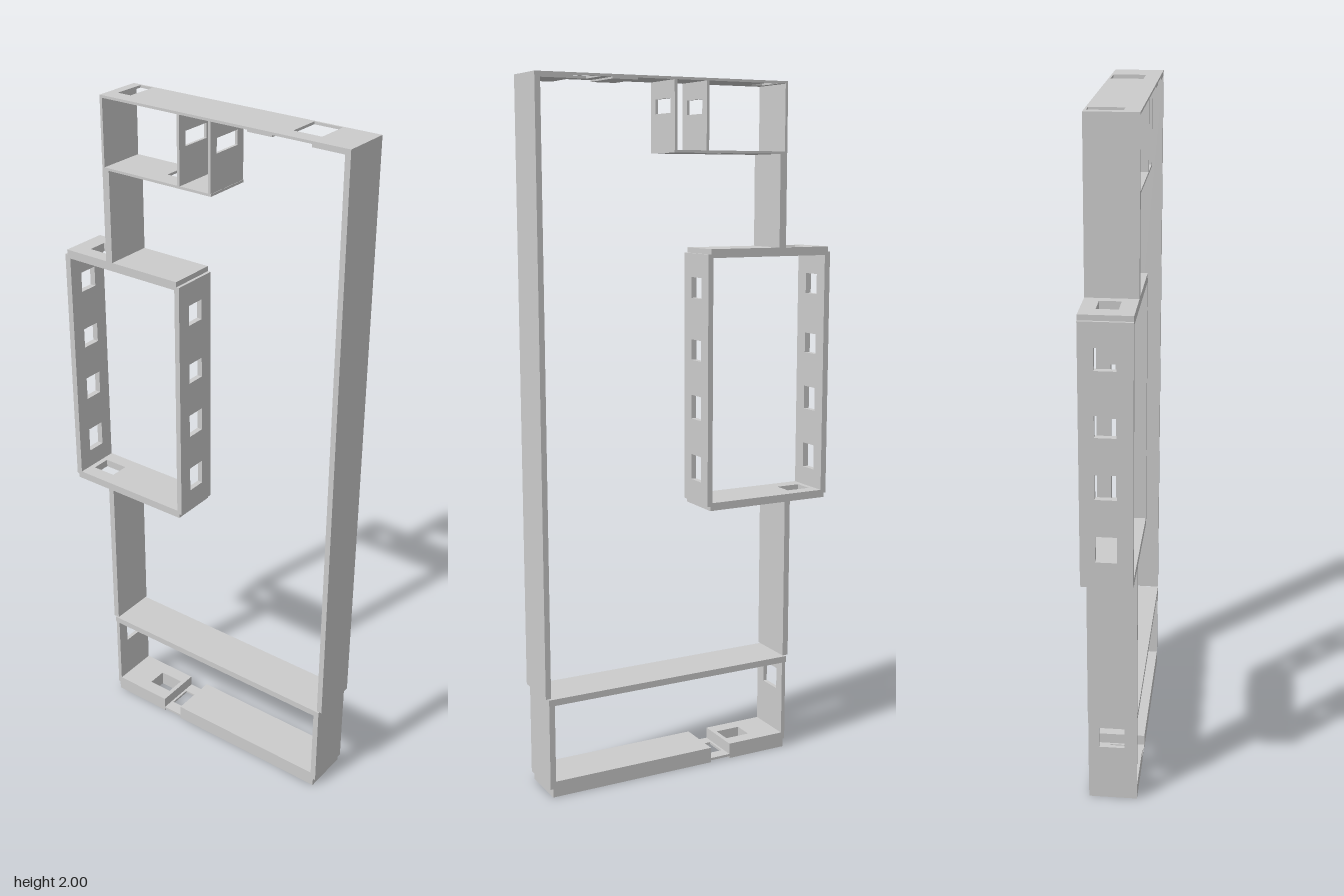
import * as THREE from 'three';

const D = 0.071; // half depth shared by every panel
const material = new THREE.MeshStandardMaterial({ color: 0xcccccc, flatShading: true });

// Rectangular sheet with rectangular holes [u0, u1, v0, v1]
function sheet(u0, u1, v0, v1, holes, depth) {
  const corners = (a, b, c, d) => [[a, c], [b, c], [b, d], [a, d]].map(p => new THREE.Vector2(...p));
  const shape = new THREE.Shape(corners(u0, u1, v0, v1));
  for (const h of holes) shape.holes.push(new THREE.Path(corners(...h)));
  return new THREE.ExtrudeGeometry(shape, { depth, bevelEnabled: false });
}

export function createModel() {
  const model = new THREE.Group();
  model.name = 'openFrame';

  function add(name, geometry) {
    const mesh = new THREE.Mesh(geometry, material);
    mesh.name = name;
    model.add(mesh);
  }
  // Horizontal panel, holes given as [x0, x1, z0, z1]
  function plate(name, x0, x1, y0, y1, holes = []) {
    add(name, sheet(x0, x1, -D, D, holes, y1 - y0).rotateX(Math.PI / 2).translate(0, y1, 0));
  }
  // Upright panel, holes given as [z0, z1, y0, y1]
  function wall(name, x0, x1, y0, y1, holes = []) {
    add(name, sheet(-D, D, y0, y1, holes, x1 - x0).rotateY(-Math.PI / 2).translate(x1, 0, 0));
  }

  // Top plate with its two openings and thin pads below
  plate('topPlate', -0.31, 0.463, 1.993, 2, [[-0.283, -0.24, -0.065, 0.028], [0.272, 0.355, -0.065, 0.028]]);
  plate('topPad', 0.165, 0.24, 1.988, 1.993);
  plate('topCornerPad', 0.355, 0.447, 1.985, 1.993);

  // Tall side wall
  wall('tallWall', 0.447, 0.463, 0.295, 1.993);

  // Upper compartment with two slotted dividers
  wall('compartmentWall', -0.31, -0.302, 1.805, 1.993);
  plate('compartmentFloor', -0.31, 0.055, 1.798, 1.805, [[-0.13, -0.08, -0.042, 0.016]]);
  for (const x of [-0.05, 0.05])
    wall('compartmentDivider', x - 0.004, x + 0.004, 1.805, 1.993, [[-0.045, 0.045, 1.905, 1.945]]);

  // Narrow walls above and below the middle box
  wall('upperNeck', -0.31, -0.288, 1.53, 1.798);
  wall('lowerNeck', -0.336, -0.318, 0.295, 0.78);

  // Middle box with four windows in each side
  const windows = [[1.42, 0.06], [1.24, 0.06], [1.072, 0.07], [0.893, 0.075]]
    .map(([y, h]) => [-0.03, 0.028, y - h / 2, y + h / 2]);
  wall('boxOuterWall', -0.464, -0.446, 0.79, 1.518, windows);
  wall('boxInnerWall', -0.069, -0.053, 0.79, 1.518, windows);
  plate('boxTop', -0.456, -0.062, 1.508, 1.533, [[-0.405, -0.335, -0.03, 0.028]]);
  plate('boxBottom', -0.458, -0.062, 0.777, 0.8, [[-0.43, -0.355, -0.03, 0.028]]);

  // Lower frame with a split, thick base
  plate('lowerFrameTop', -0.33, 0.453, 0.272, 0.291);
  wall('lowerFrameWall', -0.328, -0.316, 0.025, 0.28, [[-0.04, 0.035, 0.18, 0.245]]);
  wall('lowerFrameWall', 0.436, 0.453, 0.025, 0.28);
  plate('baseBlock', -0.322, -0.132, 0, 0.046, [[-0.222, -0.145, -0.03, 0.03]]);
  plate('baseBlock', -0.068, 0.445, 0, 0.046);
  plate('baseBridge', -0.132, -0.068, 0.006, 0.013, [[-0.125, -0.075, -0.035, 0.035]]);
  return model;
}
